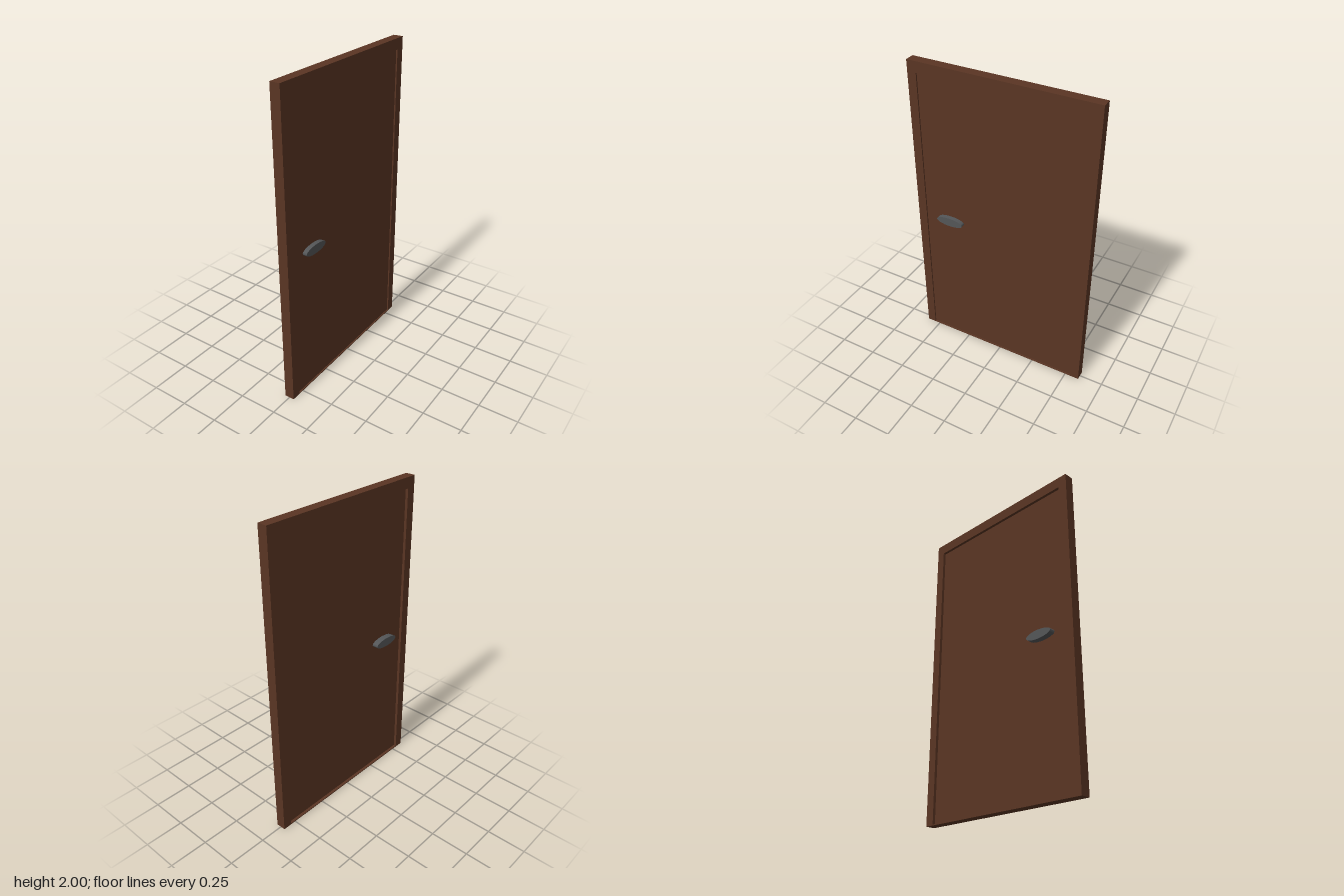
import * as THREE from 'three';

export function createModel() {
  const root = new THREE.Group();
  root.name = 'door';
  const wood = new THREE.MeshStandardMaterial({ color: 0x5a3523 });
  wood.name = 'brown wood';
  const metal = new THREE.MeshStandardMaterial({ color: 0x545658 });
  metal.name = 'grey metal';

  // box given by its low and high corners
  function block(name, [x0, y0, z0], [x1, y1, z1]) {
    const mesh = new THREE.Mesh(new THREE.BoxGeometry(x1 - x0, y1 - y0, z1 - z0), wood);
    mesh.name = name;
    mesh.position.set((x0 + x1) / 2, (y0 + y1) / 2, (z0 + z1) / 2);
    root.add(mesh);
  }

  const t = 0.032, end = 0.595, inner = 0.537, top = 1.93, sill = 0.006;

  // frame: two jambs, a header and a low threshold
  block('frontJamb', [-t, 0, inner], [t, top, end]);
  block('backJamb', [-t, 0, -end], [t, top, -inner]);
  block('header', [-t, top, -end], [t, 2, end]);
  block('threshold', [-t, 0, -inner], [t, sill, inner]);

  // door leaf, set back from both faces of the frame
  block('leaf', [-0.014, sill, -inner], [0.023, top, inner]);

  // flat oval handle passing through the leaf
  const oval = new THREE.CylinderGeometry(1, 1, 0.105, 16);
  oval.rotateZ(Math.PI / 2);
  oval.scale(1, 0.029, 0.093);
  const handle = new THREE.Mesh(oval, metal);
  handle.name = 'handle';
  handle.position.set(-0.001, 0.968, 0.354);
  root.add(handle);

  return root;
}
